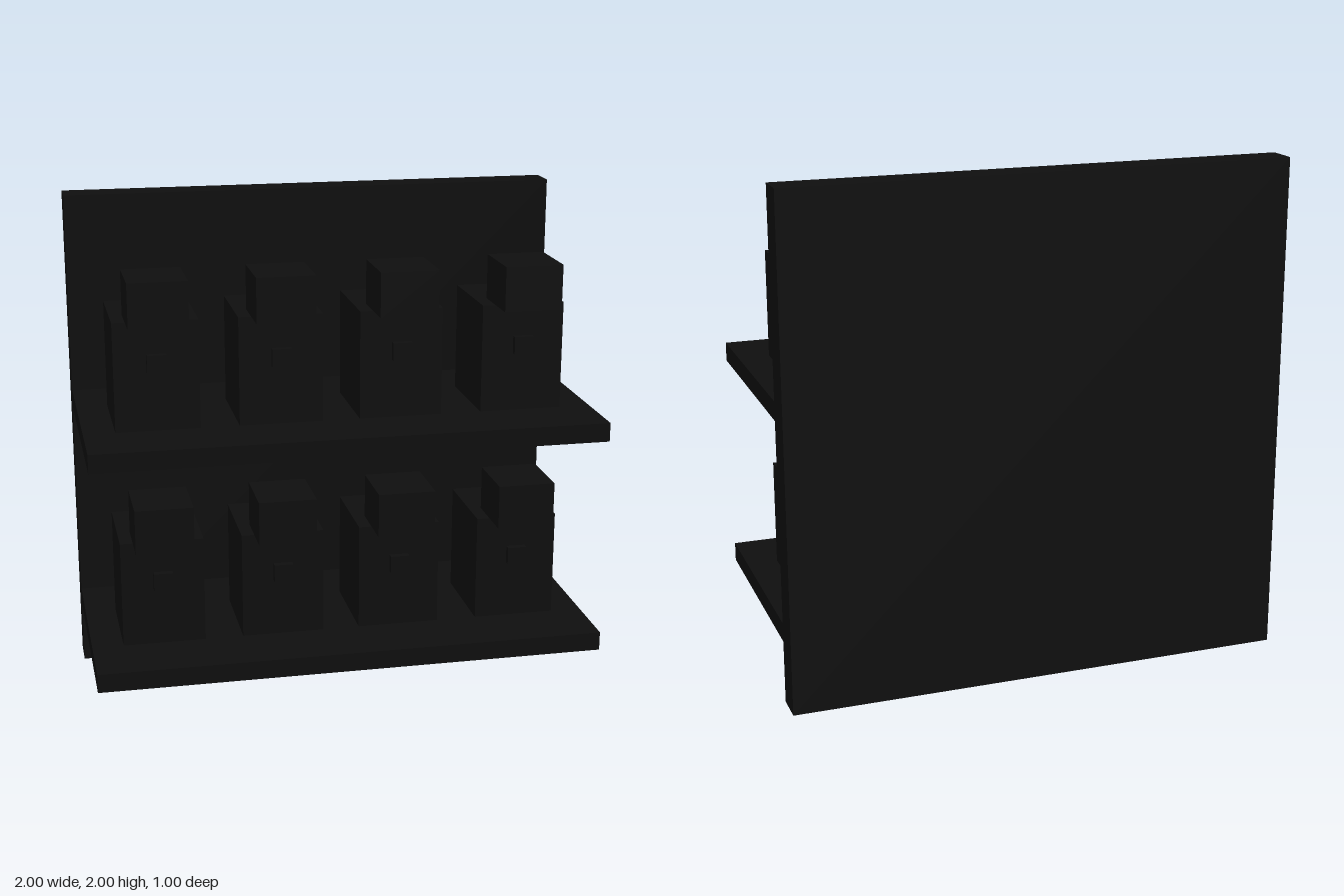
import * as THREE from 'three';

export function createModel() {
  const model = new THREE.Group();
  model.name = 'dispenserShelf';

  const black = new THREE.MeshStandardMaterial({ color: 0x0f0f0f });
  black.name = 'black';

  // Box given by its extents along each axis
  function box(parent, name, [x0, x1], [y0, y1], [z0, z1]) {
    const mesh = new THREE.Mesh(new THREE.BoxGeometry(x1 - x0, y1 - y0, z1 - z0), black);
    mesh.position.set((x0 + x1) / 2, (y0 + y1) / 2, (z0 + z1) / 2);
    mesh.name = name;
    parent.add(mesh);
  }

  // Upright panel at the back
  box(model, 'backPanel', [-1, 1], [0, 2], [-0.5, -0.375]);

  // Two identical tiers, each a shelf with four block units
  for (const [tierName, y] of [['lowerTier', 0.25], ['upperTier', 1.125]]) {
    const tier = new THREE.Group();
    tier.name = tierName;
    tier.position.y = y;
    model.add(tier);

    box(tier, 'shelf', [-1, 1], [0, 0.075], [-0.375, 0.5]);

    for (const x of [-0.715, -0.24, 0.23, 0.715]) {
      const unit = new THREE.Group();
      unit.name = 'unit';
      unit.position.set(x, 0.075, 0);
      tier.add(unit);

      box(unit, 'body', [-0.1625, 0.1625], [0, 0.425], [-0.125, 0.25]);
      box(unit, 'head', [-0.1125, 0.1125], [0.425, 0.6], [0.125, 0.375]);
      box(unit, 'button', [-0.0375, 0.0375], [0.23, 0.3], [0.25, 0.275]);
    }
  }

  return model;
}
